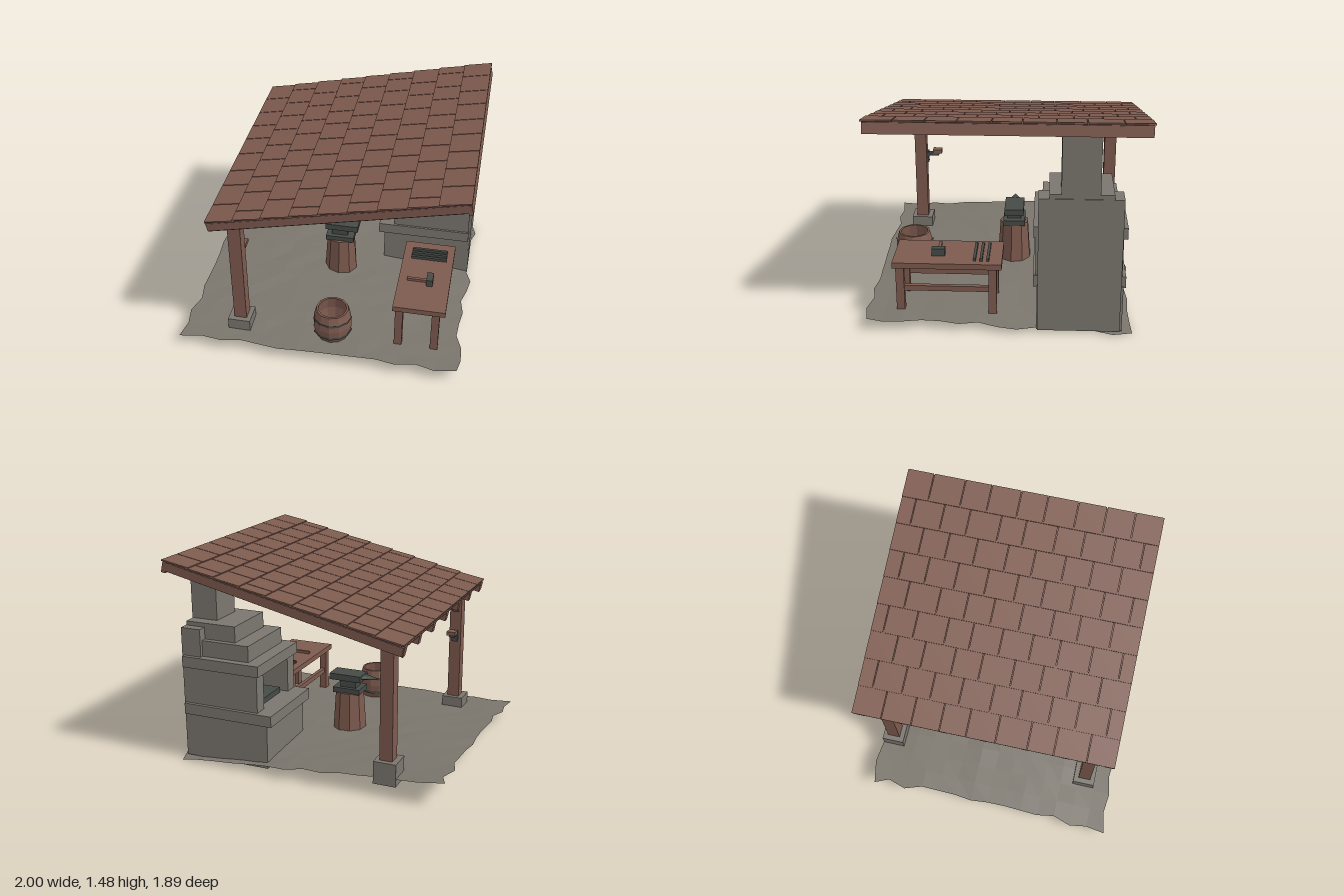
import * as THREE from 'three';

const mat = (name, color, extra = {}) => {
  const m = new THREE.MeshStandardMaterial({ color, ...extra });
  m.name = name;
  return m;
};

export function createModel() {
  const wood = mat('brown wood', 0x7d5a4e);
  const stone = mat('grey stone', 0x7b766f);
  const earth = mat('trodden earth', 0x7a756c, { side: THREE.DoubleSide });
  const iron = mat('dark iron', 0x464b47);

  const model = new THREE.Group();
  model.name = 'openForge';
  const group = (name, parent = model) => {
    const g = new THREE.Group();
    g.name = name;
    parent.add(g);
    return g;
  };
  // Faceted mesh from any geometry
  const add = (parent, name, geo, material) => {
    const g = geo.index ? geo.toNonIndexed() : geo;
    g.computeVertexNormals();
    const m = new THREE.Mesh(g, material);
    m.name = name;
    parent.add(m);
    return m;
  };
  // Box given by its limits on each axis
  const box = (parent, name, material, x0, x1, y0, y1, z0, z1) => {
    const m = add(parent, name, new THREE.BoxGeometry(x1 - x0, y1 - y0, z1 - z0), material);
    m.position.set((x0 + x1) / 2, (y0 + y1) / 2, (z0 + z1) / 2);
    return m;
  };
  let seed = 7;
  const rand = () => (seed = (seed * 16807) % 2147483647) / 2147483647;

  // Ground: a twisted sheet with a ragged edge
  const groundY = (x, z) => 0.1 - 0.09 * x * (0.95 - z) / 1.84 + 0.02 * Math.max(0, 1 - x * x - z * z);
  const N = 14;
  const ground = new THREE.PlaneGeometry(2, 2, N, N).rotateX(-Math.PI / 2);
  const gp = ground.attributes.position;
  for (let i = 0; i < gp.count; i++) {
    const u = gp.getX(i), v = gp.getZ(i);
    const rimX = Math.abs(u) > 0.99, rimZ = Math.abs(v) > 0.99;
    const x = u * (rimX ? 1 - 0.055 * rand() : 0.97);
    const z = 0.03 + v * (rimZ ? 0.92 - 0.05 * rand() : 0.9);
    gp.setXYZ(i, x, groundY(x, z) + (rand() - 0.5) * 0.008, z);
  }
  add(model, 'ground', ground, earth);

  // Posts on stone footings, with the beam they carry
  const frame = group('timberFrame');
  for (const [z, y] of [[0.715, 0.03], [-0.78, 0.1]]) {
    box(frame, 'footing', stone, -0.67, -0.51, y, y + 0.16, z - 0.08, z + 0.08);
    box(frame, 'post', wood, -0.632, -0.542, y + 0.03, 1.045, z - 0.045, z + 0.045);
  }
  box(frame, 'beam', wood, -0.635, -0.54, 1.04, 1.11, -0.86, 0.82);
  const brace = add(frame, 'brace', new THREE.BoxGeometry(0.05, 0.045, 0.27), wood);
  brace.position.set(-0.587, 0.985, 0.595);
  brace.rotation.x = 0.76;

  // Hook and mallet on the front post
  const hook = group('wallHook');
  box(hook, 'hookPlate', iron, -0.61, -0.565, 0.645, 0.735, 0.655, 0.672);
  box(hook, 'hookArm', iron, -0.61, -0.565, 0.7, 0.72, 0.575, 0.66);
  box(hook, 'mallet', wood, -0.62, -0.555, 0.72, 0.75, 0.55, 0.62);

  // Sloping roof, built flat and then tilted
  const roof = group('roof');
  roof.position.set(0.13, 1.214, 0);
  roof.rotation.z = 0.225;
  const L = 0.875, Z0 = -0.95, Z1 = 0.875;
  for (let i = 0; i < 7; i++) {
    const z = 0.83 - i * 0.287;
    box(roof, 'rafter', wood, -L, L - 0.02, 0, 0.065, z - 0.023, z + 0.023);
  }
  box(roof, 'roofBoards', wood, -L, L, 0.065, 0.073, Z0 + 0.01, Z1 - 0.01);
  for (const z of [Z0 + 0.008, Z1 - 0.03])
    box(roof, 'bargeBoard', wood, -L, L, 0.012, 0.07, z, z + 0.022);
  box(roof, 'fascia', wood, L - 0.025, L + 0.005, -0.003, 0.07, Z0 + 0.01, Z1 - 0.01);

  // Shingle courses, each lapping over the one below it
  const courses = 9, step = 2 * L / courses, W = (Z1 - Z0) / 9;
  for (let c = 0; c < courses; c++) {
    const shift = c % 2 ? W / 2 : W;
    let z = Z0;
    for (let k = 0; z < Z1 - 0.001; k++) {
      let end = Z0 + shift + k * W + (rand() - 0.5) * 0.03;
      if (end > Z1 - 0.04) end = Z1;
      const x0 = -L + c * step;
      const s = box(roof, 'shingle', wood, x0, Math.min(x0 + step + 0.02, L + 0.01),
        0.08, 0.09, z, end - (end < Z1 ? 0.006 : 0));
      s.rotation.z = -0.04;
      z = end;
    }
  }

  // Stone forge: plinth, hearth between side walls, stepped hood, flue
  const forge = group('forge');
  box(forge, 'plinth', stone, 0.3, 0.95, 0.03, 0.36, -0.8, -0.23);
  box(forge, 'hearthSlab', stone, 0.26, 0.945, 0.35, 0.43, -0.815, -0.205);
  for (const [a, b] of [[-0.79, -0.69], [-0.32, -0.22]])
    box(forge, 'sideWall', stone, 0.375, 0.94, 0.43, 0.7, a, b);
  box(forge, 'backWall', stone, 0.81, 0.96, 0.03, 0.98, -0.785, -0.235);
  box(forge, 'hoodSlab', stone, 0.35, 0.945, 0.7, 0.78, -0.815, -0.205);
  box(forge, 'hoodStep', stone, 0.45, 0.94, 0.78, 0.895, -0.76, -0.26);
  box(forge, 'hoodStep', stone, 0.57, 0.955, 0.895, 1.01, -0.72, -0.305);
  box(forge, 'flue', stone, 0.76, 0.96, 1.01, 1.42, -0.63, -0.38);
  box(forge, 'firePan', iron, 0.42, 0.74, 0.43, 0.47, -0.65, -0.36);

  // Anvil on a stump
  const anvil = group('anvil');
  anvil.position.set(-0.005, 0, -0.05);
  add(anvil, 'stump', new THREE.CylinderGeometry(0.105, 0.125, 0.31, 9), wood).position.y = 0.25;
  box(anvil, 'anvilFoot', iron, -0.105, 0.105, 0.4, 0.44, -0.08, 0.08);
  box(anvil, 'anvilWaist', iron, -0.065, 0.055, 0.44, 0.495, -0.05, 0.05);
  box(anvil, 'anvilFace', iron, -0.11, 0.135, 0.493, 0.54, -0.07, 0.07);
  const horn = add(anvil, 'anvilHorn',
    new THREE.ConeGeometry(0.05, 0.13, 8).rotateZ(Math.PI / 2).scale(1, 0.4, 1), iron);
  horn.position.set(-0.17, 0.52, 0);

  // Open barrel with iron hoops
  const barrel = group('barrel');
  barrel.position.set(0.073, 0.09, 0.695);
  const profile = [[0, 0], [0.108, 0], [0.132, 0.07], [0.138, 0.125], [0.132, 0.18],
    [0.115, 0.245], [0.1, 0.245], [0.115, 0.15], [0.1, 0.04], [0, 0.04]];
  add(barrel, 'staves', new THREE.LatheGeometry(profile.map(p => new THREE.Vector2(...p)), 12), wood);
  for (const y of [0.07, 0.185])
    add(barrel, 'hoop', new THREE.CylinderGeometry(0.139, 0.139, 0.02, 12, 1, true), iron).position.y = y;

  // Workbench
  const bench = group('workbench');
  box(bench, 'benchTop', wood, 0.5, 0.865, 0.42, 0.46, 0.005, 0.74);
  for (const x of [0.545, 0.8]) {
    for (const z of [0.695, 0.068])
      box(bench, 'benchLeg', wood, x - 0.027, x + 0.027, z > 0.5 ? 0.055 : 0.03, 0.42, z - 0.028, z + 0.028);
    box(bench, 'stretcher', wood, x - 0.015, x + 0.015, 0.23, 0.268, 0.09, 0.68);
  }

  // Tools on the bench
  const tools = group('tools');
  box(tools, 'hammerHead', iron, 0.7, 0.745, 0.46, 0.512, 0.395, 0.485);
  box(tools, 'hammerHandle', wood, 0.56, 0.7, 0.462, 0.482, 0.43, 0.45);
  for (const z of [0.1, 0.145, 0.19])
    box(tools, 'ironBar', iron, 0.56, 0.815, 0.46, 0.48, z - 0.009, z + 0.009);

  return model;
}
